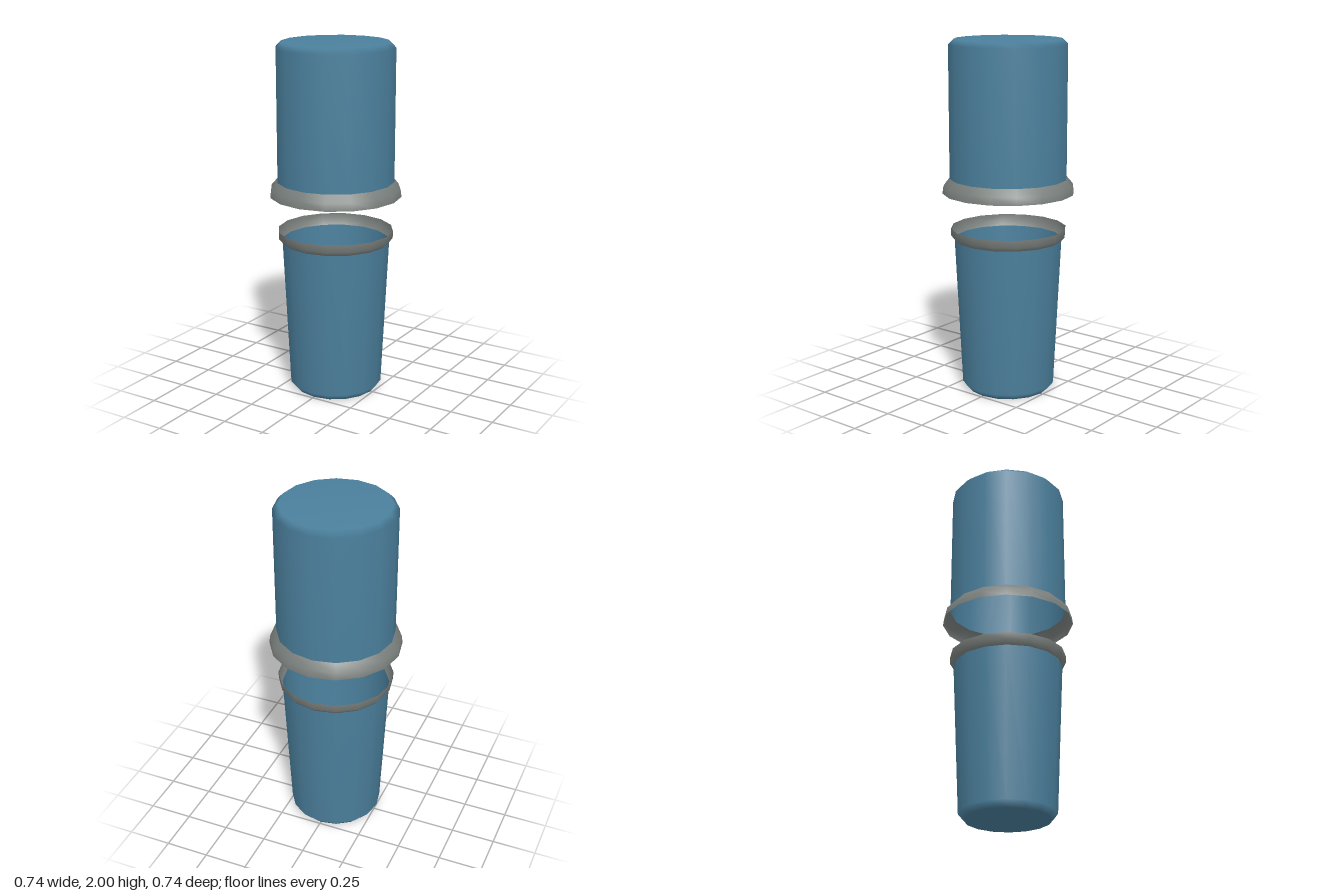
import * as THREE from 'three';

const SIDES = 16;

// Turns a bottom-to-top profile of [radius, height] pairs into a thin open shell
function shell(name, profile, material) {
  const points = profile.map(([r, y]) => new THREE.Vector2(r, y));
  const mesh = new THREE.Mesh(new THREE.LatheGeometry(points, SIDES), material);
  mesh.name = name;
  return mesh;
}

export function createModel() {
  const blue = new THREE.MeshStandardMaterial({ color: 0x4b809d, side: THREE.DoubleSide });
  blue.name = 'blue';
  const grey = new THREE.MeshStandardMaterial({ color: 0x797f7c, side: THREE.DoubleSide });
  grey.name = 'grey';

  // Tapered lower cup, open at the top
  const cup = new THREE.Group();
  cup.name = 'cup';
  cup.add(
    shell('cupBody', [[0, 0], [0.235, 0], [0.265, 0.035], [0.305, 0.88]], blue),
    shell('cupRim', [[0.305, 0.88], [0.325, 0.905], [0.326, 0.945]], grey)
  );

  // Straight upper lid floating above, open at the bottom
  const lid = new THREE.Group();
  lid.name = 'lid';
  lid.add(
    shell('lidBody', [[0.33, 1.23], [0.33, 1.97], [0.3, 2], [0, 2]], blue),
    shell('lidRim', [[0.371, 1.147], [0.365, 1.19], [0.33, 1.23]], grey)
  );

  const model = new THREE.Group();
  model.name = 'container';
  model.add(cup, lid);
  return model;
}
